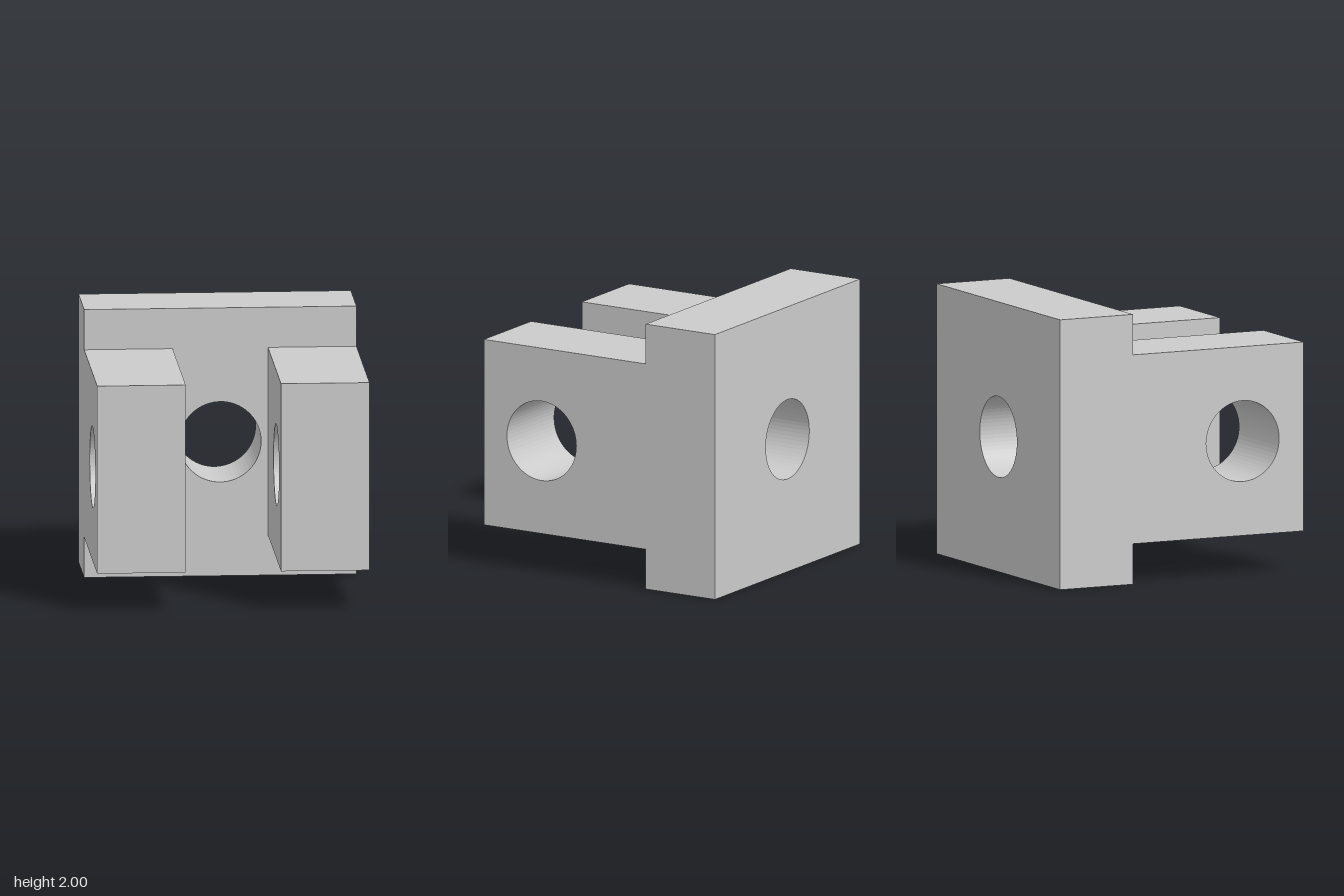
import * as THREE from 'three';

const material = new THREE.MeshStandardMaterial({ color: 0xcccccc, flatShading: true });

// Rectangular slab (u0..u1, v0..v1) with one round hole, extruded along +z
function drilledSlab(u0, u1, v0, v1, holeU, holeV, radius, depth) {
  const shape = new THREE.Shape();
  shape.moveTo(u0, v0);
  shape.lineTo(u1, v0);
  shape.lineTo(u1, v1);
  shape.lineTo(u0, v1);
  shape.closePath();
  const hole = new THREE.Path();
  hole.absarc(holeU, holeV, radius, 0, Math.PI * 2, true);
  shape.holes.push(hole);
  return new THREE.ExtrudeGeometry(shape, { depth, bevelEnabled: false, curveSegments: 32 });
}

export function createModel() {
  const group = new THREE.Group();
  group.name = 'clevisBracket';

  // Square back plate with a central bore
  const plate = new THREE.Mesh(drilledSlab(-1, 1, 0, 2, 0, 1, 0.3, 0.6), material);
  plate.name = 'backPlate';
  plate.position.z = -1;
  group.add(plate);

  // Two forward lugs with a shared cross-pin hole; profile is drawn in z and y
  const lugGeometry = drilledSlab(-0.4, 1, 0.3, 1.7, 0.5, 1, 0.3, 0.65);
  lugGeometry.rotateY(-Math.PI / 2);
  for (const [name, outerX] of [['leftLug', 1], ['rightLug', -0.35]]) {
    const lug = new THREE.Mesh(lugGeometry, material);
    lug.name = name;
    lug.position.x = outerX;
    group.add(lug);
  }

  return group;
}
